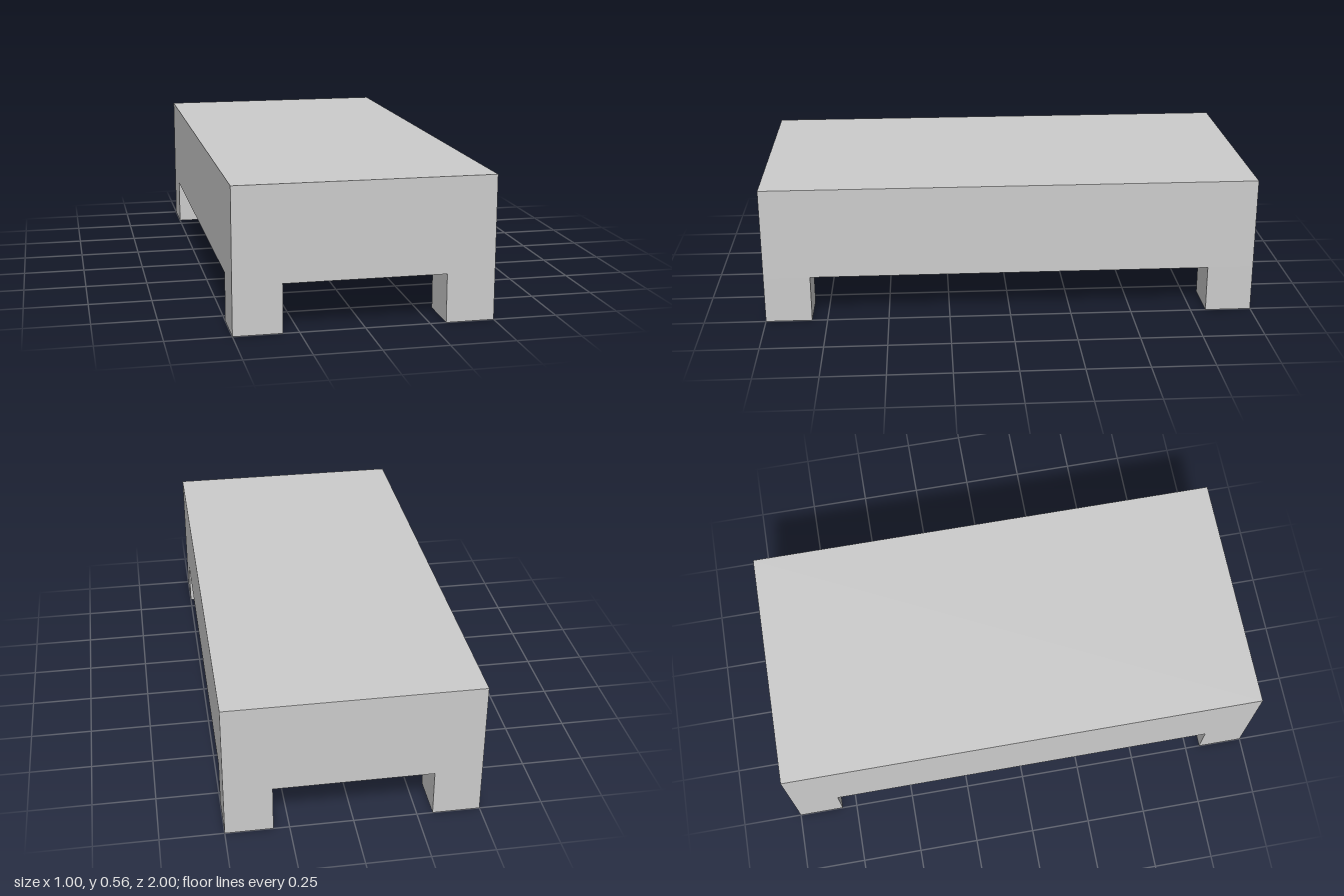
import * as THREE from 'three';

const WIDTH = 1, LENGTH = 2, HEIGHT = 0.5625;
const LEG = 0.1875, LEG_HEIGHT = 0.19;

export function createModel() {
  const model = new THREE.Group();
  model.name = 'lowTable';
  const material = new THREE.MeshStandardMaterial({ color: 0xcccccc, flatShading: true });

  const addBox = (name, w, h, d, x, y, z) => {
    const mesh = new THREE.Mesh(new THREE.BoxGeometry(w, h, d), material);
    mesh.name = name;
    mesh.position.set(x, y, z);
    model.add(mesh);
  };

  // Thick slab
  const slabHeight = HEIGHT - LEG_HEIGHT;
  addBox('slab', WIDTH, slabHeight, LENGTH, 0, LEG_HEIGHT + slabHeight / 2, 0);

  // Square legs, flush with the slab's corners
  for (const [side, sx] of [['Left', 1], ['Right', -1]]) {
    for (const [end, sz] of [['front', 1], ['back', -1]]) {
      addBox(`${end}${side}Leg`, LEG, LEG_HEIGHT, LEG,
        sx * (WIDTH - LEG) / 2, LEG_HEIGHT / 2, sz * (LENGTH - LEG) / 2);
    }
  }

  return model;
}
